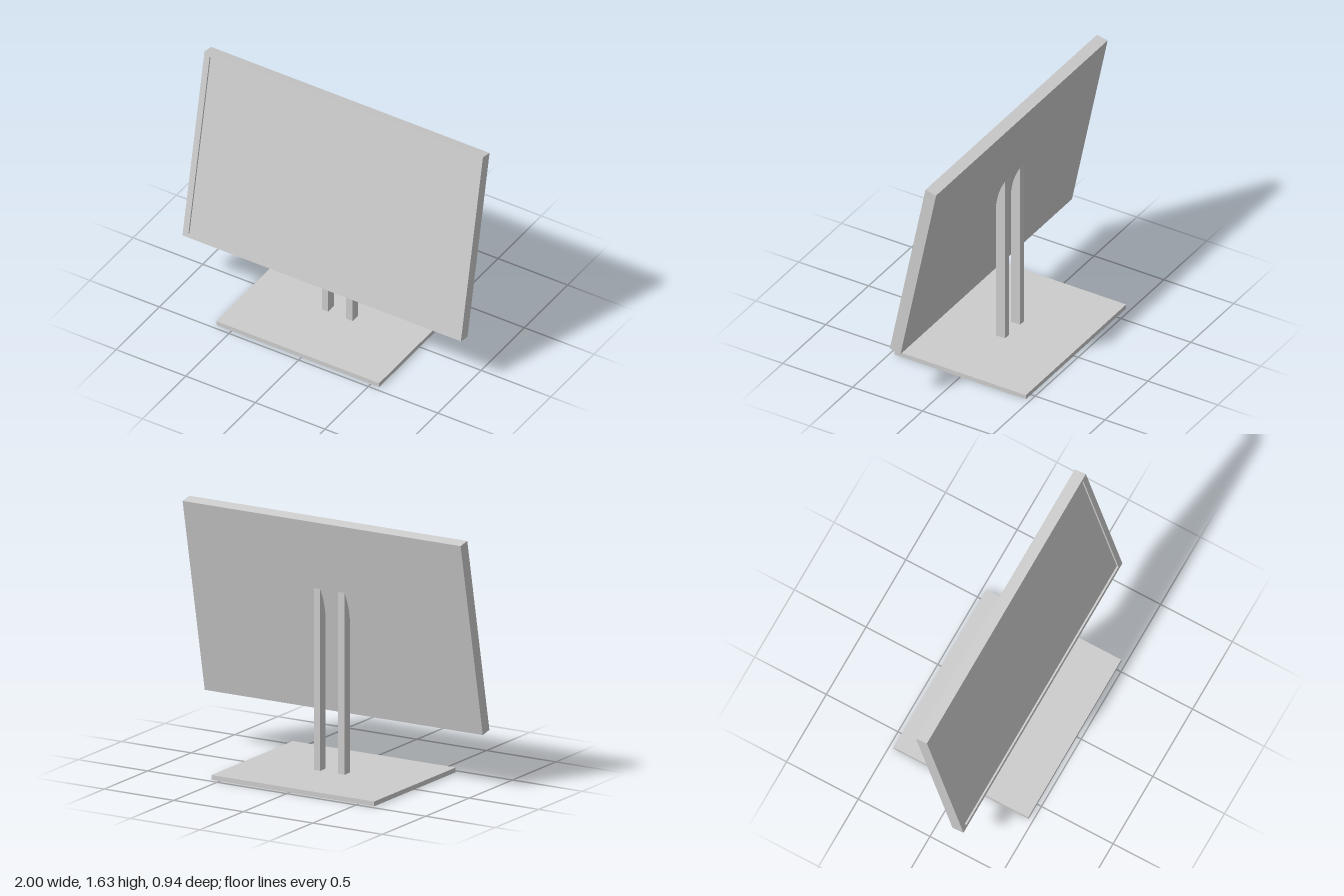
import * as THREE from 'three';

const material = new THREE.MeshStandardMaterial({ color: 0xcccccc, flatShading: true });

function addMesh(parent, name, geometry, x = 0, y = 0, z = 0) {
  const mesh = new THREE.Mesh(geometry, material);
  mesh.name = name;
  mesh.position.set(x, y, z);
  parent.add(mesh);
  return mesh;
}

function rectangle(PathType, w, h) {
  return new PathType([[-w, -h], [w, -h], [w, h], [-w, h]].map(([x, y]) => new THREE.Vector2(x / 2, y / 2)));
}

export function createModel() {
  const model = new THREE.Group();
  model.name = 'monitor';

  // Flat base plate, slightly off centre
  addMesh(model, 'base', new THREE.BoxGeometry(1.17, 0.03, 0.94), -0.025, 0.015, 0);

  // Two upright posts, rounded off towards the display at the top
  const profile = new THREE.Shape();
  profile.moveTo(-0.035, 0.03);
  profile.lineTo(0.03, 0.03);
  profile.lineTo(0.03, 0.97);
  profile.quadraticCurveTo(0.023, 1.08, -0.035, 1.18);
  profile.closePath();
  const post = new THREE.ExtrudeGeometry(profile, { depth: 0.045, bevelEnabled: false, curveSegments: 6 });
  post.rotateY(-Math.PI / 2); // profile x becomes z, thickness runs towards -x
  addMesh(model, 'rightPost', post, -0.08);
  addMesh(model, 'leftPost', post, 0.095);

  // Display, leaning back
  const width = 2, height = 1.278, depth = 0.078, recess = 0.012;
  const display = new THREE.Group();
  display.name = 'display';
  display.position.set(0, 0.996, 0.068);
  display.rotation.x = -0.201;
  model.add(display);

  // Housing, whose front face is the screen
  addMesh(display, 'screenHousing', new THREE.BoxGeometry(width, height, depth - recess), 0, 0, -recess / 2);

  // Raised bezel around the screen
  const frame = rectangle(THREE.Shape, width, height);
  frame.holes.push(rectangle(THREE.Path, 1.92, 1.227));
  addMesh(display, 'bezel', new THREE.ExtrudeGeometry(frame, { depth: recess, bevelEnabled: false }),
    0, 0, depth / 2 - recess);

  return model;
}
